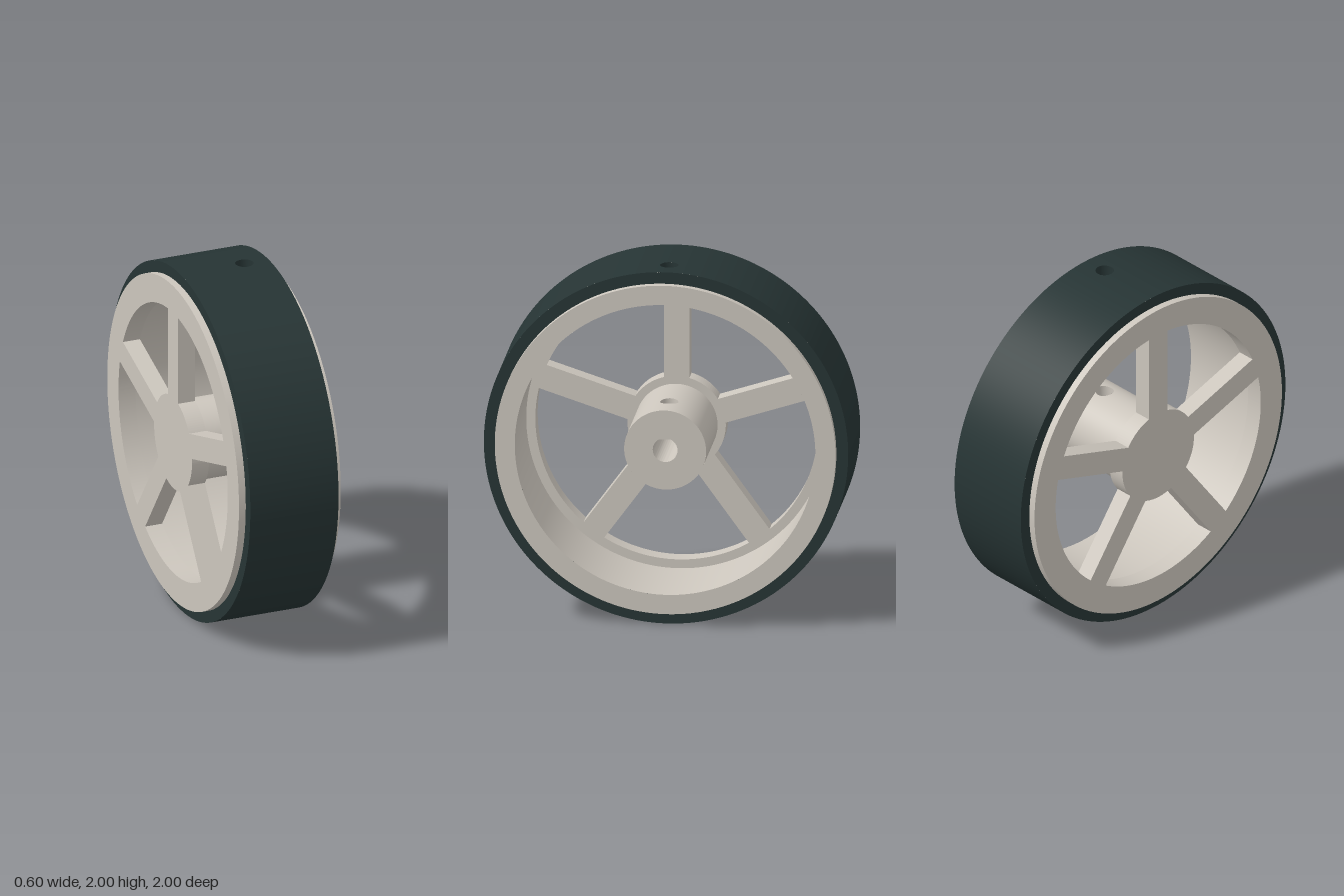
import * as THREE from 'three';
import { mergeGeometries, toCreasedNormals } from 'three/addons/utils/BufferGeometryUtils.js';

const HOLE_X = 0.12;      // screw hole position along the axle
const PLATE = [-0.3, -0.2]; // spoke plate extent along the axle
const TAU = Math.PI * 2;

// Grid surface from a rule at(u, v), both 0..1
function sheet(nu, nv, at, flip = false) {
  const pos = [], idx = [];
  for (let j = 0; j <= nv; j++)
    for (let i = 0; i <= nu; i++) pos.push(...at(i / nu, j / nv));
  for (let j = 0; j < nv; j++)
    for (let i = 0; i < nu; i++) {
      const a = j * (nu + 1) + i, b = a + 1, c = a + nu + 1, d = c + 1;
      if (flip) idx.push(a, c, b, b, c, d);
      else idx.push(a, b, c, b, d, c);
    }
  const g = new THREE.BufferGeometry();
  g.setAttribute('position', new THREE.Float32BufferAttribute(pos, 3));
  g.setIndex(idx);
  g.computeVertexNormals();
  return g;
}

// Cylinder wall around the x axis with a round hole through its top
function piercedWall(r, x0, x1, holeR, inward = false) {
  const w = holeR + 0.04, t0 = Math.asin(w / r);
  const arc = sheet(160, 1, (u, v) => {
    const t = t0 + u * (TAU - 2 * t0);
    return [x0 + v * (x1 - x0), r * Math.cos(t), r * Math.sin(t)];
  }, inward);
  const corners = [[x1, -w], [x1, w], [x0, w], [x0, -w], [x1, -w]];
  const patch = sheet(96, 8, (u, v) => {
    const s = Math.min(3, Math.floor(u * 4)), f = u * 4 - s;
    const [ax, az] = corners[s], [bx, bz] = corners[s + 1];
    const ex = ax + (bx - ax) * f, ez = az + (bz - az) * f;
    const a = Math.atan2(ez, ex - HOLE_X);
    const hx = HOLE_X + holeR * Math.cos(a), hz = holeR * Math.sin(a);
    const z = hz + (ez - hz) * v;
    return [hx + (ex - hx) * v, Math.sqrt(r * r - z * z), z];
  }, inward);
  const g = mergeGeometries([arc, patch]);
  const p = g.attributes.position, k = (inward ? -1 : 1) / r;
  for (let i = 0; i < p.count; i++) g.attributes.normal.setXYZ(i, 0, p.getY(i) * k, p.getZ(i) * k);
  return g;
}

// Inside wall of a vertical hole between two heights given as functions of z
function holeWall(r, low, high) {
  return sheet(40, 1, (u, v) => {
    const z = r * Math.sin(u * TAU);
    return [HOLE_X + r * Math.cos(u * TAU), low(z) + v * (high(z) - low(z)), z];
  });
}
const roundTop = (r) => (z) => Math.sqrt(r * r - z * z);

// Flat ring facing +x or -x
function ringFace(inner, outer, x, dir) {
  return new THREE.RingGeometry(inner, outer, 160).rotateY(dir * Math.PI / 2).translate(x, 0, 0);
}

// Plate with five windows, leaving spokes and a central disc
function spokePlate() {
  const shape = new THREE.Shape().absarc(0, 0, 0.935, 0, TAU);
  const outer = 0.775, inner = 0.27, half = 0.07;
  const dO = Math.asin(half / outer), dI = Math.asin(half / inner);
  for (let i = 0; i < 5; i++) {
    const a = Math.PI / 2 + i * TAU / 5, b = a + TAU / 5;
    const win = new THREE.Path();
    win.absarc(0, 0, outer, a + dO, b - dO, false);
    win.absarc(0, 0, inner, b - dI, a + dI, true);
    win.closePath();
    shape.holes.push(win);
  }
  const g = new THREE.ExtrudeGeometry(shape, { depth: PLATE[1] - PLATE[0], bevelEnabled: false, curveSegments: 64 });
  return toCreasedNormals(g.rotateY(Math.PI / 2).translate(PLATE[0], 0, 0), 0.4);
}

export function createModel() {
  const rubber = new THREE.MeshStandardMaterial({ color: 0x263434 });
  rubber.name = 'dark rubber';
  const plastic = new THREE.MeshStandardMaterial({ color: 0xccc6bd, side: THREE.DoubleSide });
  plastic.name = 'pale plastic';

  const model = new THREE.Group();
  model.name = 'wheel';
  const add = (name, material, ...geos) => {
    const group = new THREE.Group();
    group.name = name;
    geos.forEach((g) => {
      const mesh = new THREE.Mesh(g, material);
      mesh.name = name;
      group.add(mesh);
    });
    group.position.y = 1;
    model.add(group);
  };

  // Tyre band with a narrow screwdriver hole
  add('tyre', rubber,
    piercedWall(1, -0.26, 0.26, 0.05),
    piercedWall(0.935, -0.26, 0.26, 0.05, true),
    ringFace(0.935, 1, 0.26, 1),
    ringFace(0.935, 1, -0.26, -1),
    holeWall(0.05, roundTop(0.935), roundTop(1)));

  // Rim barrel with a wider hole, open on the +x side
  add('rim', plastic,
    piercedWall(0.935, PLATE[1], 0.3, 0.09),
    piercedWall(0.825, PLATE[1], 0.3, 0.09, true),
    ringFace(0.825, 0.935, 0.3, 1),
    holeWall(0.09, roundTop(0.825), roundTop(0.935)));

  add('spokes', plastic, spokePlate());

  // Hub boss with a blind D-shaped bore and a screw hole on top
  const boreR = 0.068, flatY = 0.06, flatA = Math.asin(flatY / boreR);
  const bore = new THREE.Path();
  bore.absarc(0, 0, boreR, Math.PI - flatA, TAU + flatA, false);
  bore.closePath();
  const face = new THREE.Shape().absarc(0, 0, 0.225, 0, TAU);
  face.holes.push(bore);
  const hubFace = new THREE.ShapeGeometry(face, 64).rotateY(Math.PI / 2).translate(0.3, 0, 0);
  const outline = bore.getPoints(48);
  const boreWall = sheet(outline.length - 1, 1, (u, v) => {
    const p = outline[Math.round(u * (outline.length - 1))];
    return [PLATE[1] + v * (0.3 - PLATE[1]), p.y, -p.x];
  });
  add('hub', plastic,
    piercedWall(0.225, PLATE[1], 0.3, 0.05),
    hubFace,
    toCreasedNormals(boreWall, 0.4),
    holeWall(0.05, () => flatY, roundTop(0.225)));

  return model;
}
